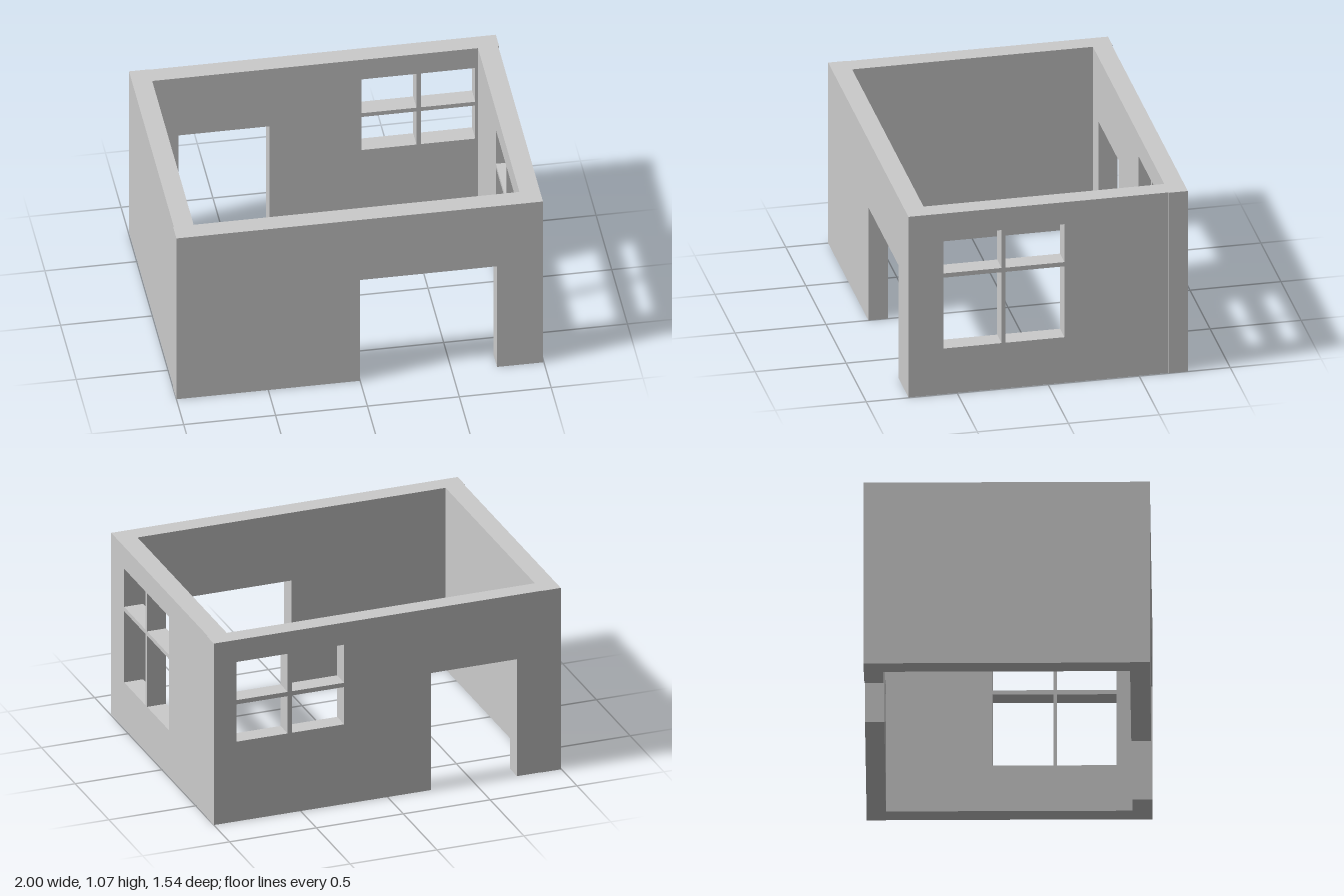
import * as THREE from 'three';

const HEIGHT = 1.07;

// Four panes separated by a cross of thin bars
function windowPanes(columns, rows) {
  const panes = [];
  for (const [x0, x1] of columns) {
    for (const [y0, y1] of rows) panes.push([x0, y0, x1, y1]);
  }
  return panes;
}

// Upright wall panel from u0 to u1, with an optional doorway and window panes
function makeWall(name, material, { u0, u1, depth, door, panes = [] }) {
  const points = [[u0, 0]];
  if (door) {
    const [d0, d1, top] = door;
    points.push([d0, 0], [d0, top], [d1, top], [d1, 0]);
  }
  points.push([u1, 0], [u1, HEIGHT], [u0, HEIGHT]);
  const shape = new THREE.Shape(points.map(([x, y]) => new THREE.Vector2(x, y)));
  for (const [x0, y0, x1, y1] of panes) {
    shape.holes.push(new THREE.Path([
      new THREE.Vector2(x0, y0), new THREE.Vector2(x0, y1),
      new THREE.Vector2(x1, y1), new THREE.Vector2(x1, y0),
    ]));
  }
  const geometry = new THREE.ExtrudeGeometry(shape, { depth, bevelEnabled: false });
  const mesh = new THREE.Mesh(geometry, material);
  mesh.name = name;
  return mesh;
}

export function createModel() {
  const group = new THREE.Group();
  group.name = 'roomShell';
  const material = new THREE.MeshStandardMaterial({ color: 0xcccccc });

  // Front wall with the wide doorway
  const front = makeWall('frontWall', material, {
    u0: -1, u1: 0.995, depth: 0.107, door: [0, 0.745, 0.67],
  });
  front.position.z = 0.66;

  // Back wall with a narrower doorway and a small window
  const back = makeWall('backWall', material, {
    u0: -0.888, u1: 1, depth: 0.104, door: [-0.745, -0.25, 0.69],
    panes: windowPanes([[0.25, 0.55], [0.575, 0.87]], [[0.47, 0.69], [0.715, 0.94]]),
  });
  back.position.z = -0.767;

  // Side wall at +x with the tall window (local x runs towards -z)
  const windowSide = makeWall('windowSideWall', material, {
    u0: -0.66, u1: 0.663, depth: 0.11,
    panes: windowPanes([[-0.575, -0.255], [-0.235, 0.09]], [[0.27, 0.69], [0.715, 0.94]]),
  });
  windowSide.rotation.y = Math.PI / 2;
  windowSide.position.x = 0.885;

  // Plain side wall at -x
  const plainSide = makeWall('plainSideWall', material, {
    u0: -0.66, u1: 0.77, depth: 0.108,
  });
  plainSide.rotation.y = Math.PI / 2;
  plainSide.position.x = -0.996;

  group.add(front, back, windowSide, plainSide);
  return group;
}
